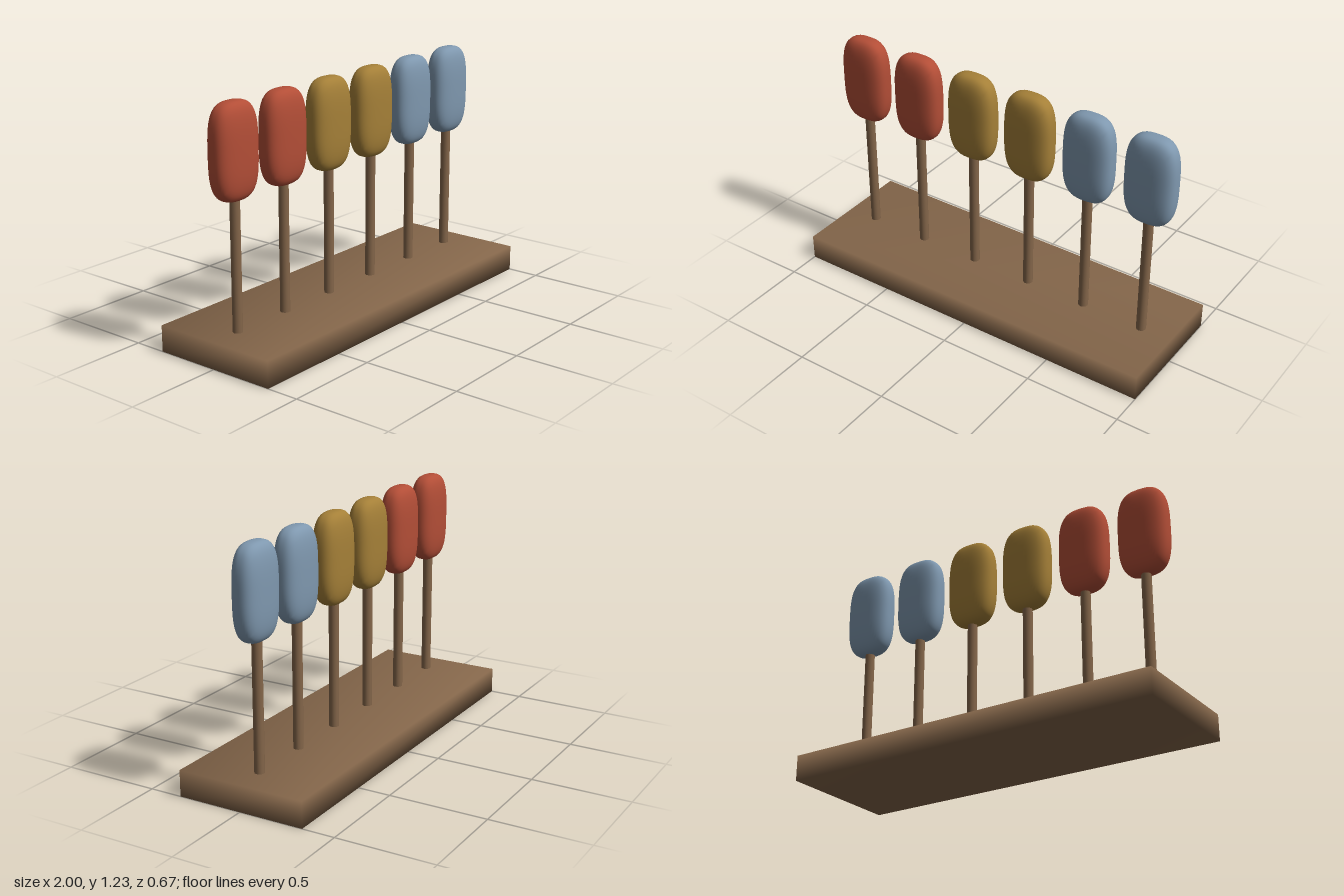
import * as THREE from 'three';
import { mergeVertices } from 'three/addons/utils/BufferGeometryUtils.js';

const material = (name, color) => {
  const m = new THREE.MeshStandardMaterial({ color });
  m.name = name;
  return m;
};

// Share corners so the normals blend smoothly across every edge
function smooth(geometry) {
  geometry.deleteAttribute('normal');
  geometry.deleteAttribute('uv');
  const merged = mergeVertices(geometry);
  merged.computeVertexNormals();
  return merged;
}

// Rounded pillow: a subdivided cube pushed out to a superellipsoid
function pillow(width, height, depth) {
  const g = smooth(new THREE.BoxGeometry(2, 2, 2, 14, 14, 14));
  const p = g.attributes.position;
  const v = new THREE.Vector3();
  const around = 2.7, upright = 3.3;
  for (let i = 0; i < p.count; i++) {
    v.fromBufferAttribute(p, i);
    const ring = Math.abs(v.x) ** around + Math.abs(v.z) ** around;
    const r = (ring ** (upright / around) + Math.abs(v.y) ** upright) ** (1 / upright);
    v.divideScalar(r);
    p.setXYZ(i, v.x * width / 2, v.y * height / 2, v.z * depth / 2);
  }
  g.computeVertexNormals();
  return g;
}

export function createModel() {
  const model = new THREE.Group();
  model.name = 'paddleStand';
  const wood = material('wood', 0x84664a);
  const red = material('red', 0xb34e37);
  const ochre = material('ochre', 0xa58038);
  const blue = material('blue', 0x7f98af);

  const add = (name, geometry, mat, x, y) => {
    const mesh = new THREE.Mesh(geometry, mat);
    mesh.name = name;
    mesh.position.set(x, y, 0);
    model.add(mesh);
  };

  // Base board
  add('base', smooth(new THREE.BoxGeometry(2, 0.133, 0.667)), wood, 0, 0.0665);

  // Row of posts, each topped by a padded head
  const post = smooth(new THREE.CylinderGeometry(0.025, 0.025, 0.667, 12));
  const head = pillow(0.265, 0.463, 0.145);
  [red, red, ochre, ochre, blue, blue].forEach((mat, i) => {
    const x = (i - 2.5) / 3;
    add('post' + (i + 1), post, wood, x, 0.133 + 0.3335);
    add('head' + (i + 1), head, mat, x, 1.0015);
  });
  return model;
}
